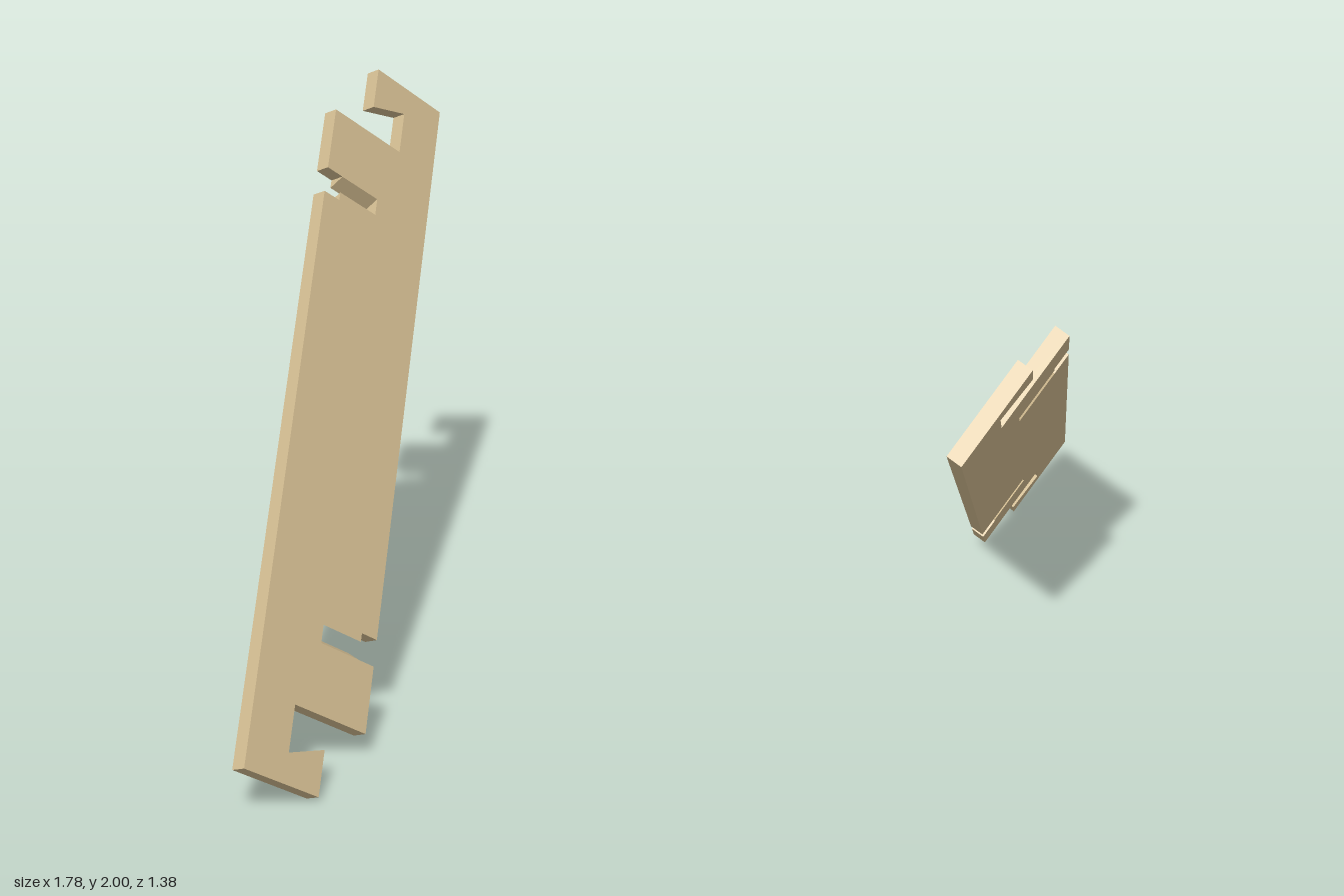
import * as THREE from 'three';

const THICK = 0.053;
const SLANT = 0.015; // half the sideways drift of the angled slots through the board
const SLOT_TOP = 0.8165, SLOT_BOTTOM = 0.7535;

export function createModel() {
  const group = new THREE.Group();
  group.name = 'notchedBoard';
  const wood = new THREE.MeshStandardMaterial({ color: 0xd0ba8f });
  wood.name = 'plywood';

  // One end of the board: hook, tab and stepped slot (across, along)
  const end = [
    [0.264, 1.331], [-0.083, 1.331], [-0.083, 1.173], [0.078, 1.227],
    [0.078, 1.067], [-0.266, 1.067], [-0.266, 0.832], [-0.19, 0.832],
    [-0.19, SLOT_TOP], [-0.004, SLOT_TOP], [-0.004, SLOT_BOTTOM],
    [-0.19, SLOT_BOTTOM], [-0.19, 0.738], [-0.266, 0.738],
  ];
  // The other end is the same, turned half a revolution
  const outline = [...end, ...end.map(([s, l]) => [-s, -l])];
  const shape = new THREE.Shape(outline.map(([s, l]) => new THREE.Vector2(s, l)));
  const geo = new THREE.ExtrudeGeometry(shape, { depth: THICK, bevelEnabled: false });
  geo.translate(0, 0, -THICK / 2);

  // Cut the inner slots at an angle: shift their corners opposite ways on each face
  const pos = geo.attributes.position;
  for (let i = 0; i < pos.count; i++) {
    const l = pos.getY(i), a = Math.abs(l);
    if (Math.abs(a - SLOT_TOP) < 1e-4 || Math.abs(a - SLOT_BOTTOM) < 1e-4) {
      pos.setY(i, l + Math.sign(l) * Math.sign(pos.getZ(i)) * SLANT);
    }
  }
  geo.computeVertexNormals();

  // Lean the board along its diagonal
  const along = new THREE.Vector3(0.5, Math.SQRT1_2, -0.5);
  const across = new THREE.Vector3(Math.sqrt(2 / 3), -Math.sqrt(1 / 3), 0);
  const normal = new THREE.Vector3().crossVectors(across, along);
  geo.applyMatrix4(new THREE.Matrix4().makeBasis(across, along, normal));
  geo.translate(0, 1, 0);

  const board = new THREE.Mesh(geo, wood);
  board.name = 'board';
  group.add(board);
  return group;
}
